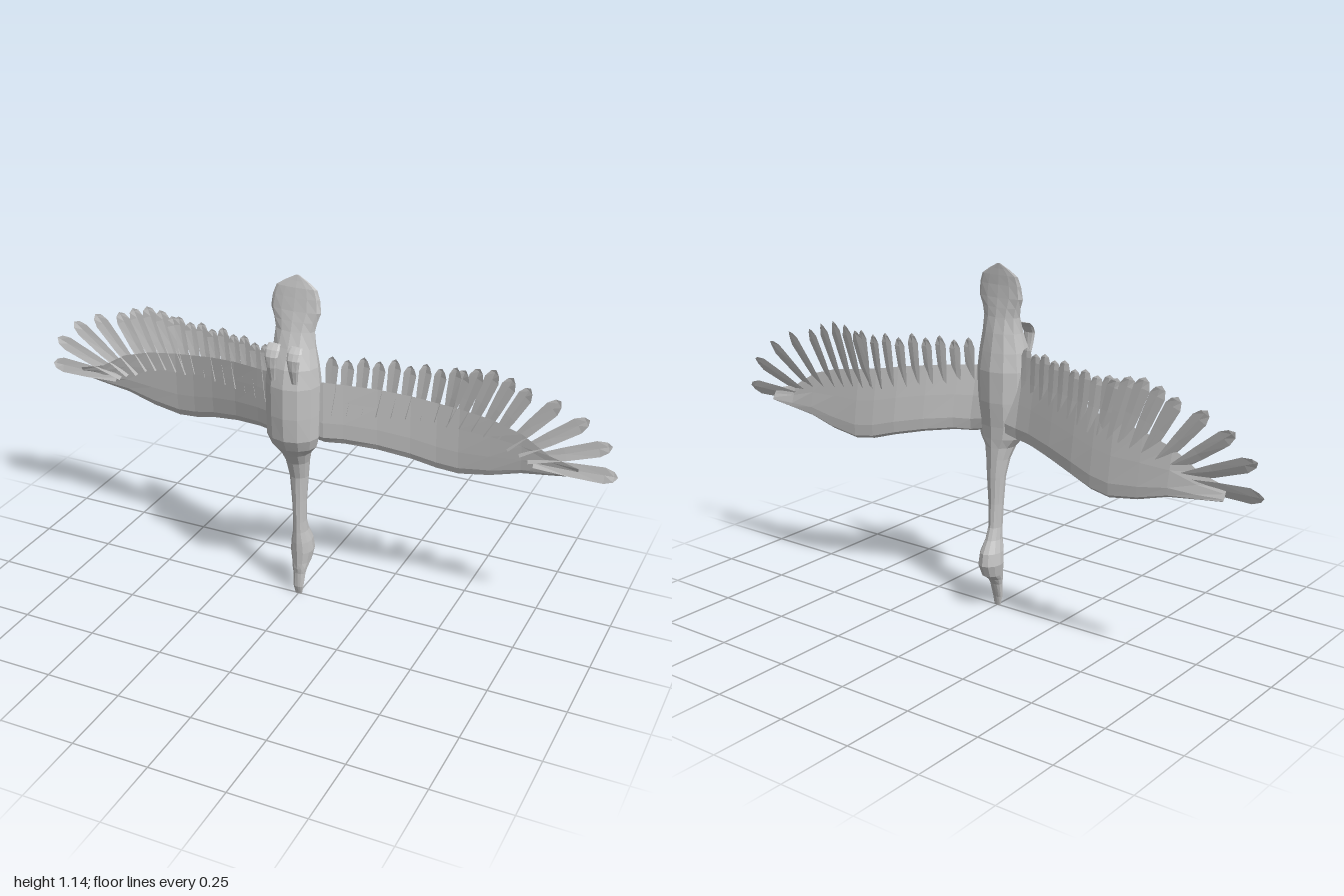
import * as THREE from 'three';

const plumage = new THREE.MeshStandardMaterial({ color: 0xc4c4c4, flatShading: true });
plumage.name = 'plumageGrey';
const featherGrey = plumage.clone();
featherGrey.name = 'featherGrey';
featherGrey.side = THREE.DoubleSide;

function makeGeometry(points, index) {
  const g = new THREE.BufferGeometry();
  g.setAttribute('position', new THREE.Float32BufferAttribute(points.flat(), 3));
  g.setIndex(index);
  const flat = g.toNonIndexed();
  flat.computeVertexNormals();
  return flat;
}

// Closed skin through equal-sized rings of points, capped at both ends
function loft(rings) {
  const n = rings[0].length, last = rings.length - 1;
  const points = rings.flat(), index = [];
  for (let i = 0; i < last; i++) {
    for (let j = 0; j < n; j++) {
      const a = i * n + j, b = i * n + (j + 1) % n;
      index.push(a, a + n, b + n, a, b + n, b);
    }
  }
  for (const i of [0, last]) {
    const c = points.length;
    points.push([0, 1, 2].map(k => rings[i].reduce((s, p) => s + p[k], 0) / n));
    for (let j = 0; j < n; j++) {
      const a = i * n + j, b = i * n + (j + 1) % n;
      index.push(c, i ? b : a, i ? a : b);
    }
  }
  return makeGeometry(points, index);
}

// Oval ring at height y, between a front and a back depth
function oval(y, front, back, half, cx = 0, sides = 12) {
  return Array.from({ length: sides }, (_, j) => {
    const a = (j / sides) * Math.PI * 2;
    return [cx + Math.cos(a) * half, y, (front + back) / 2 + Math.sin(a) * (front - back) / 2];
  });
}

function lerpTable(table, x) {
  let i = 0;
  while (i < table.length - 2 && x > table[i + 1][0]) i++;
  const [x0, v0] = table[i], [x1, v1] = table[i + 1];
  return v0 + (v1 - v0) * (x - x0) / (x1 - x0);
}

// Depth of the wing along its span
const SWEEP = [[0, 0.01], [0.1, 0], [0.2, -0.037], [0.3, -0.068], [0.4, -0.095],
  [0.5, -0.108], [0.6, -0.11], [0.8, -0.112], [1, -0.118]];
const wingZ = x => lerpTable(SWEEP, x);

// Height, front depth, back depth, half width
const HEAD = [[0, 0.003, -0.003, 0.012], [0.03, 0.011, -0.007, 0.018], [0.08, 0.009, -0.022, 0.022],
  [0.1, 0.012, -0.036, 0.026], [0.12, 0.013, -0.066, 0.031], [0.16, 0.015, -0.083, 0.038],
  [0.2, 0.017, -0.077, 0.034], [0.24, 0.017, -0.054, 0.024]];
const NECK = [[0.24, 0.017, -0.054, 0.024], [0.28, 0.018, -0.039, 0.021], [0.36, 0.021, -0.035, 0.024],
  [0.45, 0.026, -0.036, 0.031], [0.51, 0.045, -0.035, 0.039], [0.55, 0.07, -0.034, 0.05]];
const BODY = [[0.55, 0.07, -0.034, 0.05], [0.58, 0.092, -0.034, 0.075], [0.62, 0.112, -0.035, 0.086],
  [0.7, 0.118, -0.042, 0.088], [0.8, 0.118, -0.042, 0.09], [0.86, 0.105, -0.033, 0.083],
  [0.92, 0.079, -0.022, 0.07], [0.97, 0.058, -0.01, 0.066]];
const TAIL = [[0.97, 0.058, -0.01, 0.066], [1.0, 0.048, -0.005, 0.073], [1.03, 0.038, 0.0, 0.084],
  [1.07, 0.028, 0.004, 0.079], [1.1, 0.021, 0.005, 0.068], [1.12, 0.014, 0.006, 0.038],
  [1.137, 0.009, 0.006, 0.006]];

// Span, leading edge, trailing edge, thickness
const WING = [[0.03, 0.6, 0.8, 0.05], [0.09, 0.586, 0.8, 0.042], [0.15, 0.584, 0.795, 0.034],
  [0.25, 0.568, 0.785, 0.028], [0.35, 0.545, 0.77, 0.026], [0.43, 0.522, 0.755, 0.025],
  [0.5, 0.513, 0.745, 0.024], [0.6, 0.529, 0.73, 0.02], [0.7, 0.558, 0.7, 0.016],
  [0.79, 0.57, 0.645, 0.012], [0.88, 0.582, 0.62, 0.007]];
// Chord fraction and thickness fraction, from trailing edge round the back to the belly side
const FOIL = [[1, 0.05], [0.55, -0.3], [0.2, -0.5], [0.04, -0.35], [0, 0.1], [0.1, 0.4], [0.35, 0.4], [0.7, 0.22]];

// Outer feathers: tip x, tip y, base x, base y, half width
const OUTER = [[0.51, 0.875, 0.45, 0.68, 0.025], [0.555, 0.888, 0.49, 0.68, 0.025],
  [0.605, 0.893, 0.53, 0.68, 0.025], [0.66, 0.877, 0.57, 0.67, 0.024], [0.715, 0.853, 0.61, 0.66, 0.024],
  [0.81, 0.83, 0.65, 0.64, 0.024], [0.9, 0.785, 0.69, 0.63, 0.024], [0.975, 0.712, 0.72, 0.615, 0.024],
  [1.0, 0.613, 0.74, 0.607, 0.025]];

// Thin blade with a raised shaft, tilted so neighbours overlap like shingles
function feather([tx, ty, bx, by, half], s) {
  const len = Math.hypot(tx - bx, ty - by);
  const px = (ty - by) / len, py = -(tx - bx) / len;
  const points = [], index = [];
  for (const [t, w] of [[0, 0.5], [0.45, 0.85], [0.84, 1], [0.95, 0.6]]) {
    for (const e of [-1, 0, 1]) {
      const x = bx + (tx - bx) * t + px * w * half * e;
      const y = by + (ty - by) * t + py * w * half * e;
      points.push([x * s, y, wingZ(x) + 0.006 + e * 0.006 - (e ? 0 : 0.002)]);
    }
  }
  points.push([tx * s, ty, wingZ(tx) + 0.006]);
  for (let r = 0; r < 3; r++) {
    for (let c = 0; c < 2; c++) {
      const a = r * 3 + c;
      index.push(a, a + 1, a + 4, a, a + 4, a + 3);
    }
  }
  index.push(9, 10, 12, 10, 11, 12);
  if (s > 0) index.reverse();
  return makeGeometry(points, index);
}

export function createModel() {
  const model = new THREE.Group();
  const add = (name, geometry, material = plumage, parent = model) => {
    const mesh = new THREE.Mesh(geometry, material);
    mesh.name = name;
    parent.add(mesh);
  };

  // Bill and head, neck, body and fanned tail
  for (const [name, rows] of Object.entries({ head: HEAD, neck: NECK, body: BODY, tail: TAIL })) {
    add(name, loft(rows.map(r => oval(...r))));
  }

  for (const s of [1, -1]) {
    const side = s > 0 ? 'left' : 'right';

    // Wing arm with a thick leading edge
    const wing = new THREE.Group();
    wing.name = side + 'Wing';
    model.add(wing);
    const rings = WING.map(([x, lead, trail, thick]) => {
      const ring = FOIL.map(([c, f]) =>
        [x * s, lead + (trail - lead) * c, wingZ(x) + (c - 0.5) * 0.02 + f * thick]);
      return s > 0 ? ring : ring.reverse();
    });
    add('wingArm', loft(rings), plumage, wing);

    // Short inner feathers, then the long spread ones
    for (let i = 0; i < 9; i++) {
      const x = 0.105 + i * 0.044;
      const tipY = 0.888 - (i % 2) * 0.01 - (i > 4 ? 0.008 : 0);
      add('innerFeather', feather([x + 0.01 + i * 0.002, tipY, x, 0.69, 0.021], s), featherGrey, wing);
    }
    for (const row of OUTER) add('outerFeather', feather(row, s), featherGrey, wing);

    // Tucked foot curling away from the belly
    const foot = [[0.825, 0.116, 0.1, 0.01], [0.87, 0.126, 0.108, 0.017], [0.905, 0.126, 0.112, 0.022],
      [0.925, 0.115, 0.102, 0.024], [0.94, 0.097, 0.09, 0.02]];
    add(side + 'Foot', loft(foot.map(r => oval(...r, 0.037 * s, 8))));
  }
  return model;
}
